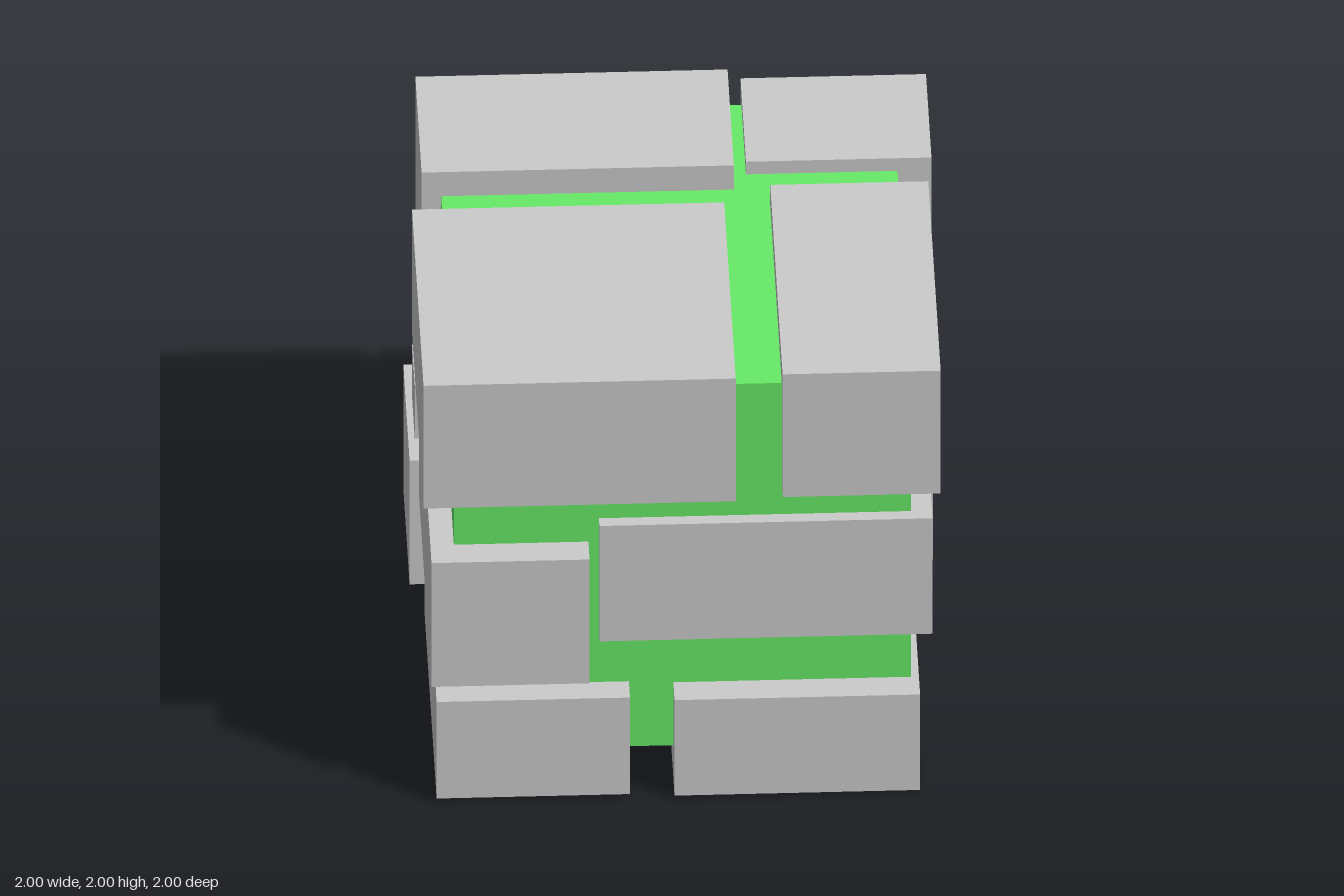
import * as THREE from 'three';

// Each block: name, [xMin, xMax], [yMin, yMax], [zMin, zMax]
const BLOCKS = [
  // top layer
  ['topFrontRightBlock', [-1, 0.195], [1.4, 1.985], [-0.145, 0.985]],
  ['topFrontLeftBlock', [0.375, 0.98], [1.4, 1.985], [-0.25, 0.965]],
  ['topBackLeftBlock', [0.29, 1], [1.4, 1.945], [-0.99, -0.455]],
  ['topBackRightBlock', [-0.955, 0.24], [1.15, 2], [-0.975, -0.36]],
  // middle layer
  ['middleFrontRightBlock', [-0.97, -0.365], [0.56, 1.15], [-0.22, 1]],
  ['middleFrontLeftBlock', [-0.325, 0.95], [0.71, 1.26], [0.4, 0.935]],
  ['middleBackLeftBlock', [0.38, 0.98], [0.535, 1.125], [-0.99, 0.225]],
  ['smallSideBlock', [-0.98, -0.7], [0.71, 0.965], [-0.65, -0.39]],
  ['smallBackBlock', [-0.62, 0.04], [0.71, 0.965], [-1, -0.7]],
  // bottom layer
  ['bottomFrontRightBlock', [-0.95, -0.21], [0.02, 0.48], [-0.22, 0.99]],
  ['bottomFrontLeftBlock', [-0.04, 0.9], [0.015, 0.47], [-0.22, 1]],
  ['bottomBackRightBlock', [-1, 0.24], [0.02, 0.61], [-1, -0.385]],
  ['bottomBackLeftBlock', [0.42, 0.9], [0, 0.47], [-0.945, -0.45]],
];

function box(name, ranges, material) {
  const size = ranges.map(([a, b]) => b - a);
  const centre = ranges.map(([a, b]) => (a + b) / 2);
  const mesh = new THREE.Mesh(new THREE.BoxGeometry(...size), material);
  mesh.position.set(...centre);
  mesh.name = name;
  return mesh;
}

export function createModel() {
  const model = new THREE.Group();
  model.name = 'blockCube';
  const grey = new THREE.MeshStandardMaterial({ color: 0xcccccc });
  const green = new THREE.MeshStandardMaterial({ color: 0x68eb68 });

  // green core that shows through the gaps
  model.add(box('core', [[-0.88, 0.87], [0.17, 1.885], [-0.9, 0.885]], green));

  // grey stone blocks set into the core
  for (const [name, ...ranges] of BLOCKS) model.add(box(name, ranges, grey));
  return model;
}
